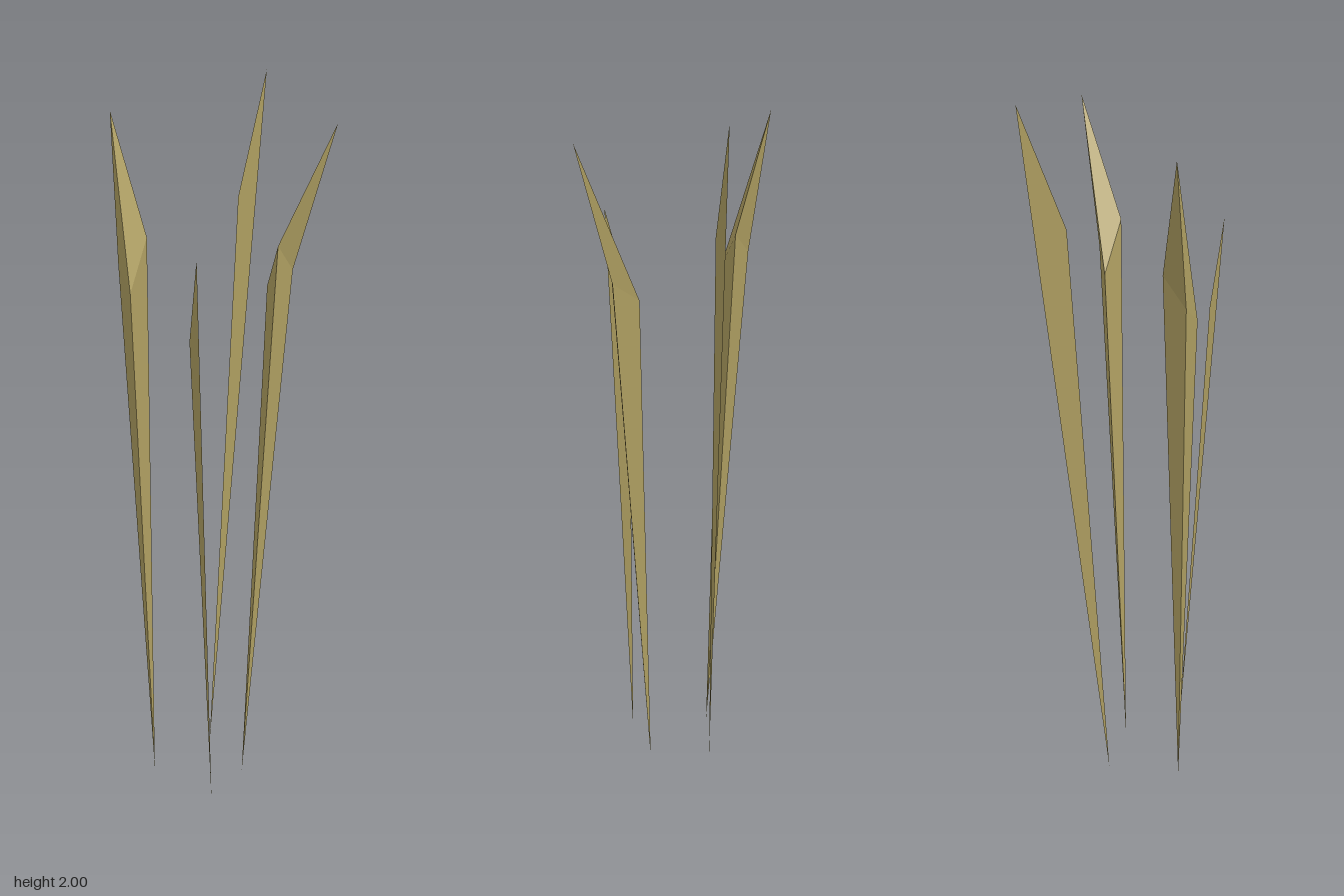
import * as THREE from 'three';

const dryGrass = new THREE.MeshStandardMaterial({ color: 0xb0a062, side: THREE.DoubleSide });

// Unshared corners keep every facet flat
function facets(name, triangles) {
  const geo = new THREE.BufferGeometry();
  geo.setAttribute('position', new THREE.Float32BufferAttribute(triangles.flat(2), 3));
  geo.computeVertexNormals();
  const mesh = new THREE.Mesh(geo, dryGrass);
  mesh.name = name;
  return mesh;
}

// Closed spike: root point, ring of shoulder points (counter-clockwise from above), tip point
function spikeBlade(name, root, ring, tip) {
  const triangles = [];
  ring.forEach((p, i) => {
    const q = ring[(i + 1) % ring.length];
    triangles.push([root, q, p], [tip, p, q]);
  });
  return facets(name, triangles);
}

// Paper-thin blade: a single triangle seen from both sides
const flatBlade = (name, root, shoulder, tip) => facets(name, [[root, tip, shoulder]]);

export function createModel() {
  const group = new THREE.Group();
  group.name = 'grassTuft';
  group.add(
    // Two fuller, three-sided blades
    spikeBlade('frontRightBlade', [0.003, 0, 0.076],
      [[0.066, 1.49, 0.094], [0.037, 1.62, 0.171], [0.095, 1.545, 0.162]], [0.16, 1.93, 0.249]),
    spikeBlade('backLeftBlade', [-0.19, 0, -0.096],
      [[-0.22, 1.47, -0.121], [-0.136, 1.6, -0.16], [-0.203, 1.53, -0.198]], [-0.182, 1.925, -0.249]),
    // Two flat blades
    flatBlade('backRightBlade', [0.018, 0, -0.1], [0.122, 1.68, -0.099], [0.238, 2, -0.125]),
    flatBlade('frontLeftBlade', [-0.153, 0, 0.132], [-0.214, 1.405, 0.128], [-0.238, 1.64, 0.192]),
  );
  return group;
}
